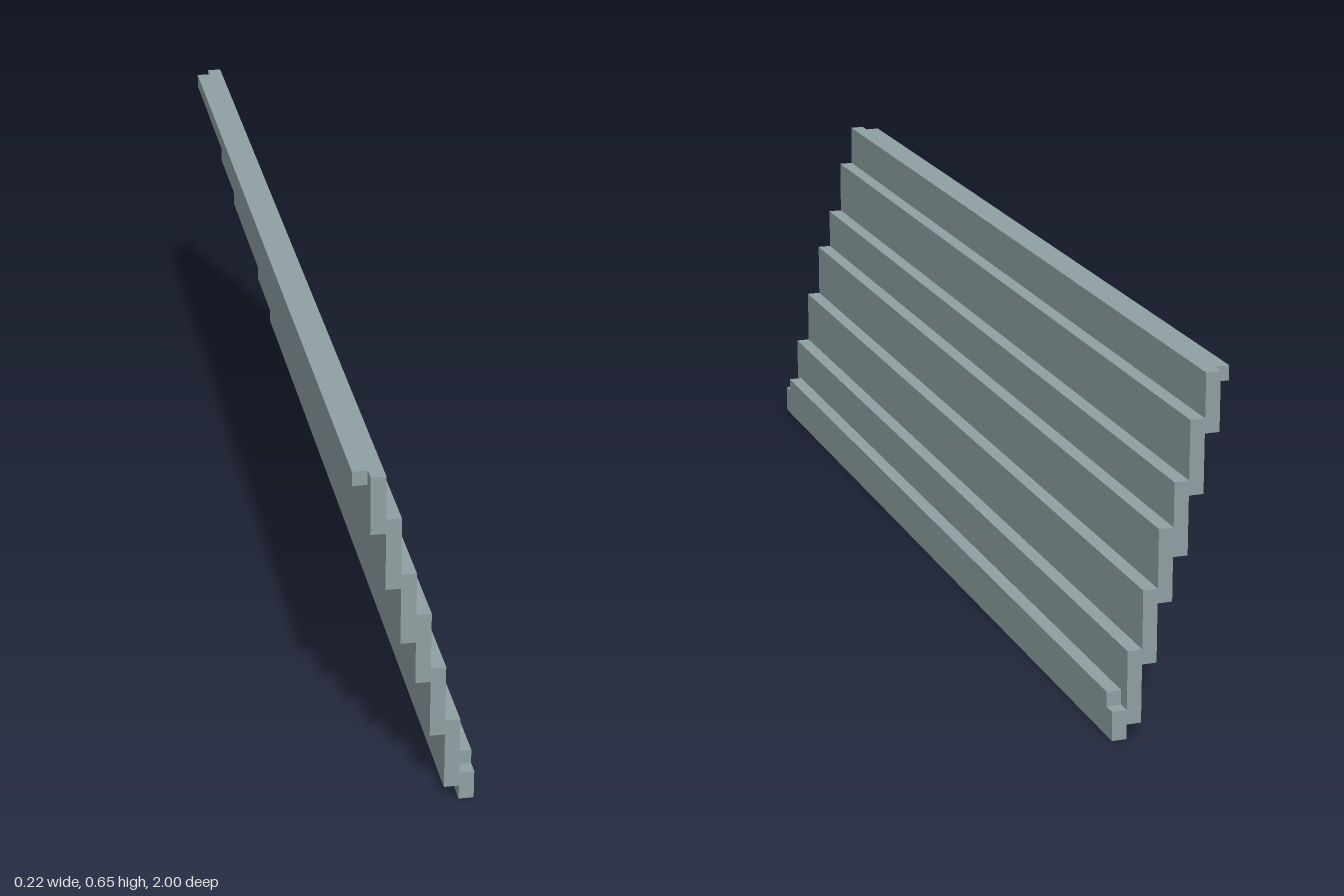
import * as THREE from 'three';

const STEP = 0.027; // width of every step in x
const HALF = 1; // half length of the panel
const INSET = 0.027; // how far the lip and ledge stop short of the ends

// [bottom, top] of each vertical board, from the upper left to the lower right
const BOARDS = [
  [0.541, 0.649],
  [0.433, 0.568],
  [0.325, 0.46],
  [0.244, 0.379],
  [0.135, 0.271],
  [0.027, 0.163],
  [0, 0.054],
];

export function createModel() {
  const model = new THREE.Group();
  model.name = 'steppedPanel';
  const slate = new THREE.MeshStandardMaterial({ color: 0x90a0a3 });
  slate.name = 'slateGrey';

  const add = (name, geometry) => {
    const mesh = new THREE.Mesh(geometry, slate);
    mesh.name = name;
    model.add(mesh);
    return mesh;
  };

  // Stepped cross-section: along the undersides, then back along the tops
  const left = (i) => -3 * STEP + i * STEP;
  const lower = [];
  const upper = [];
  BOARDS.forEach(([bottom, top], i) => {
    lower.push(new THREE.Vector2(left(i), bottom), new THREE.Vector2(left(i + 1), bottom));
    upper.push(new THREE.Vector2(left(i), top), new THREE.Vector2(left(i + 1), top));
  });
  const outline = new THREE.Shape([...lower, ...upper.reverse()]);
  const body = new THREE.ExtrudeGeometry(outline, { depth: 2 * HALF, bevelEnabled: false });
  body.translate(0, 0, -HALF);
  add('steppedBoards', body);

  // Shorter strips: lip behind the top edge, ledge on the lowest board
  const strip = (name, x, y) => {
    const mesh = add(name, new THREE.BoxGeometry(STEP, STEP, 2 * (HALF - INSET)));
    mesh.position.set(x, y, 0);
  };
  strip('topLip', -3.5 * STEP, 0.6355);
  strip('bottomLedge', 3.5 * STEP, 0.0675);

  return model;
}
